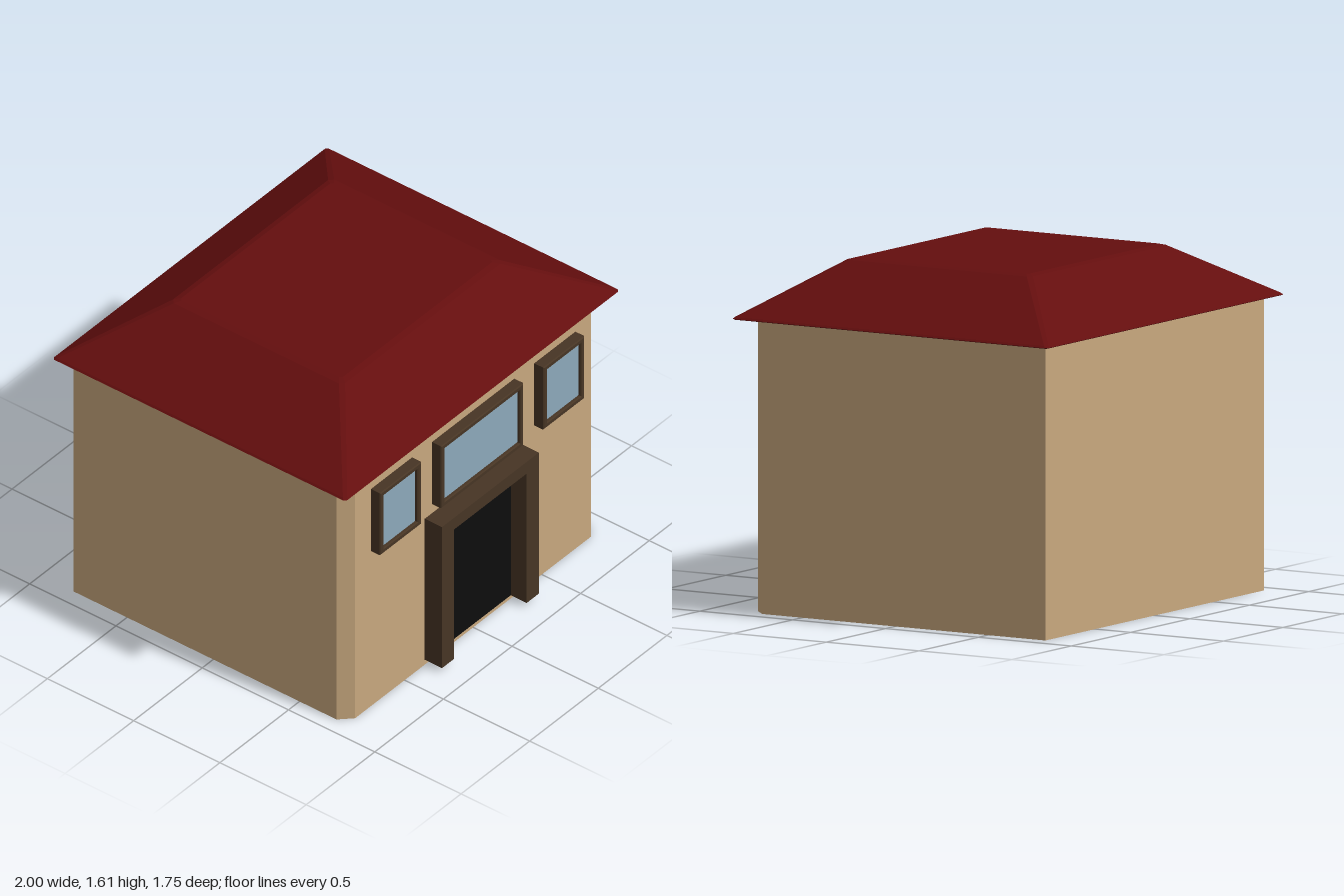
import * as THREE from 'three';

const paint = (name, color, extra = {}) => {
  const m = new THREE.MeshStandardMaterial({ color, ...extra });
  m.name = name;
  return m;
};

export function createModel() {
  const house = new THREE.Group();
  house.name = 'house';
  const plaster = paint('tan plaster', 0xc8a87e);
  const roofRed = paint('dark red roof', 0x640e0e, { flatShading: true });
  const wood = paint('brown wood', 0x473524);
  const glass = paint('blue glass', 0x8da9bb);
  const black = paint('black door', 0x0d0d0d);

  const add = (name, geometry, material, parent = house) => {
    const mesh = new THREE.Mesh(geometry, material);
    mesh.name = name;
    parent.add(mesh);
    return mesh;
  };
  const polygon = (pts) => new THREE.Shape(pts.map(([x, y]) => new THREE.Vector2(x, y)));
  const rect = (x0, y0, x1, y1) => [[x0, y0], [x1, y0], [x1, y1], [x0, y1]];

  // Walls: footprint with chamfered front corners, drawn with shape y = -z
  const footprint = polygon([
    [-0.86, -0.775], [0.86, -0.775], [0.92, -0.715],
    [0.92, 0.81], [-0.92, 0.81], [-0.92, -0.715],
  ]);
  const walls = new THREE.ExtrudeGeometry(footprint, { depth: 1.355, bevelEnabled: false });
  walls.rotateX(-Math.PI / 2);
  add('walls', walls, plaster);

  // Hipped roof: stacked rings [y, half width, back z, front z, corner cut]
  const rings = [
    [1.35, 0.992, -0.862, 0.822, 0.008],
    [1.354, 1.0, -0.87, 0.83, 0.012],
    [1.362, 0.992, -0.863, 0.823, 0.014],
    [1.602, 0.585, -0.515, 0.482, 0.02],
    [1.61, 0.555, -0.485, 0.452, 0.012],
  ];
  const positions = [];
  const index = [];
  for (const [y, w, back, front, c] of rings) {
    const outline = [
      [-w + c, front], [w - c, front], [w, front - c], [w, back + c],
      [w - c, back], [-w + c, back], [-w, back + c], [-w, front - c],
    ];
    for (const [x, z] of outline) positions.push(x, y, z);
  }
  for (let r = 0; r < rings.length - 1; r++) {
    for (let i = 0; i < 8; i++) {
      const a = r * 8 + i, b = r * 8 + (i + 1) % 8;
      index.push(a, b, b + 8, a, b + 8, a + 8);
    }
  }
  const top = (rings.length - 1) * 8;
  for (let i = 1; i < 7; i++) {
    index.push(0, i + 1, i); // underside
    index.push(top, top + i, top + i + 1); // flat top
  }
  const roof = new THREE.BufferGeometry();
  roof.setAttribute('position', new THREE.Float32BufferAttribute(positions, 3));
  roof.setIndex(index);
  const roofFlat = roof.toNonIndexed();
  roofFlat.computeVertexNormals();
  add('roof', roofFlat, roofRed);

  // Doorway: an upside-down U frame around a dark panel
  const door = new THREE.Group();
  door.name = 'doorway';
  house.add(door);
  const arch = polygon([
    [-0.353, 0.028], [-0.264, 0.028], [-0.264, 0.77], [0.264, 0.77],
    [0.264, 0.028], [0.353, 0.028], [0.353, 0.837], [-0.353, 0.837],
  ]);
  add('doorFrame', new THREE.ExtrudeGeometry(arch, { depth: 0.105, bevelEnabled: false }), wood, door)
    .position.z = 0.77;
  add('doorPanel', new THREE.BoxGeometry(0.53, 0.744, 0.012), black, door)
    .position.set(0, 0.4, 0.777);

  // Windows: bevelled frame with a recessed pane
  const addWindow = (name, x, width) => {
    const group = new THREE.Group();
    group.name = name;
    group.position.set(x, 1.067, 0.77);
    house.add(group);
    const w = width / 2, h = 0.178, bevel = 0.005, t = 0.022;
    const frame = polygon(rect(-w + bevel, -h + bevel, w - bevel, h - bevel));
    frame.holes.push(polygon(rect(-w + t, -h + t, w - t, h - t)));
    add('windowFrame', new THREE.ExtrudeGeometry(frame, {
      depth: 0.055, bevelThickness: bevel, bevelSize: bevel, bevelSegments: 1,
    }), wood, group);
    add('windowPane', new THREE.BoxGeometry(width - 0.04, 2 * h - 0.04, 0.008), glass, group)
      .position.z = 0.04;
  };
  addWindow('middleWindow', 0, 0.6);
  addWindow('leftWindow', 0.595, 0.3);
  addWindow('rightWindow', -0.595, 0.3);

  return house;
}
